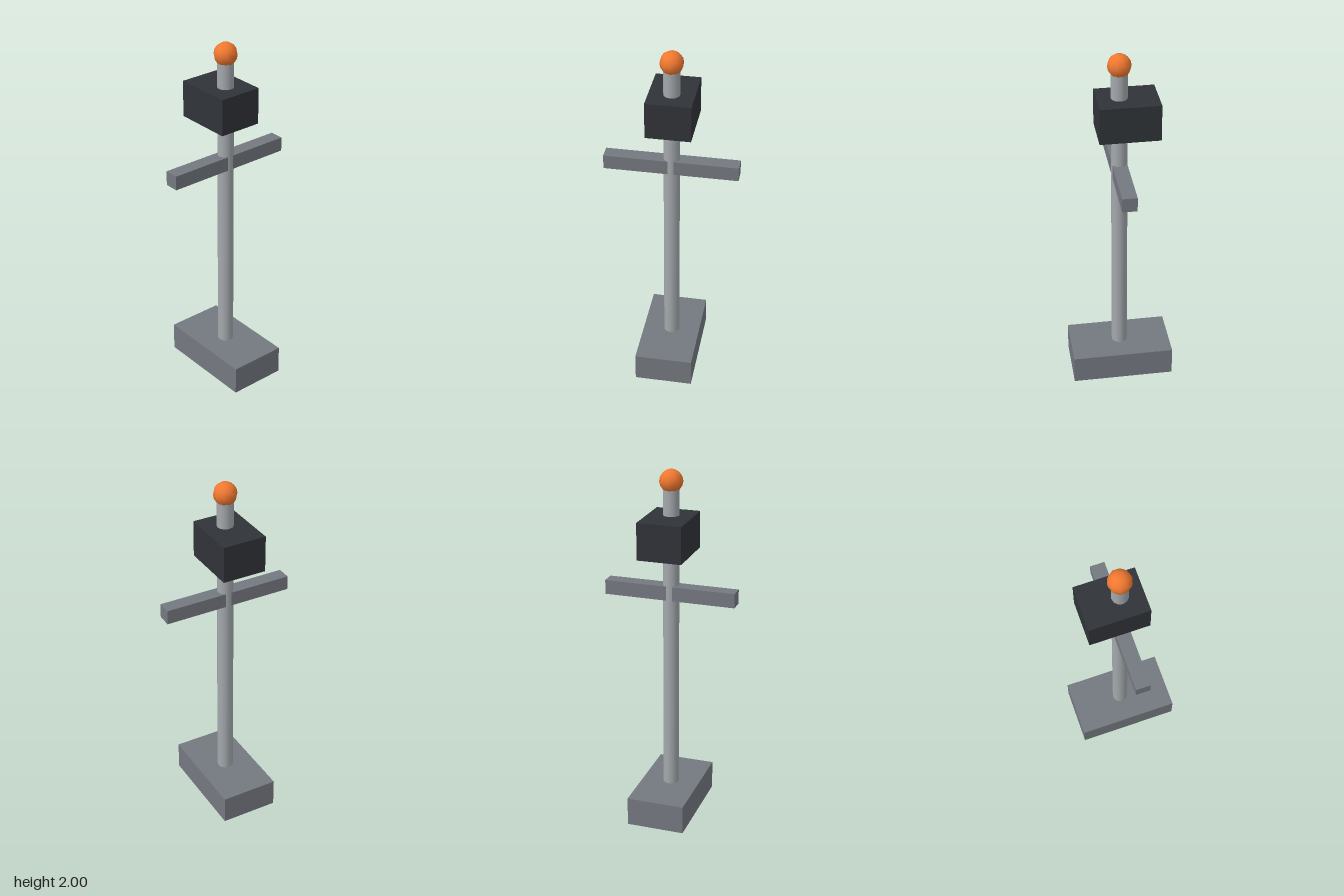
import * as THREE from 'three';

export function createModel() {
  const model = new THREE.Group();
  const mat = (color) => new THREE.MeshStandardMaterial({ color });
  const steel = mat(0x74787f);
  const pale = mat(0xa4a9ad);
  const dark = mat(0x303338);
  const orange = mat(0xf07830);

  const add = (name, geometry, material, x, y, z) => {
    const mesh = new THREE.Mesh(geometry, material);
    mesh.name = name;
    mesh.position.set(x, y, z);
    model.add(mesh);
    return mesh;
  };

  // Heavy foot block
  add('base', new THREE.BoxGeometry(0.326, 0.163, 0.576), steel, 0, 0.0815, 0);

  // Upright, from the foot into the ball
  add('pole', new THREE.CylinderGeometry(0.045, 0.045, 1.775, 12), pale, 0, 1.0075, 0);

  // Horizontal bar through the pole
  add('crossbar', new THREE.BoxGeometry(0.738, 0.08, 0.081), steel, 0, 1.32, 0);

  // Dark housing, reaching further to the back
  add('housing', new THREE.BoxGeometry(0.246, 0.204, 0.328), dark, 0, 1.65, -0.042);

  // Ball on top, with corners on the z axis
  const ball = add('topBall', new THREE.SphereGeometry(0.064, 10, 8), orange, 0, 1.936, 0);
  ball.rotation.y = Math.PI / 10;

  return model;
}
